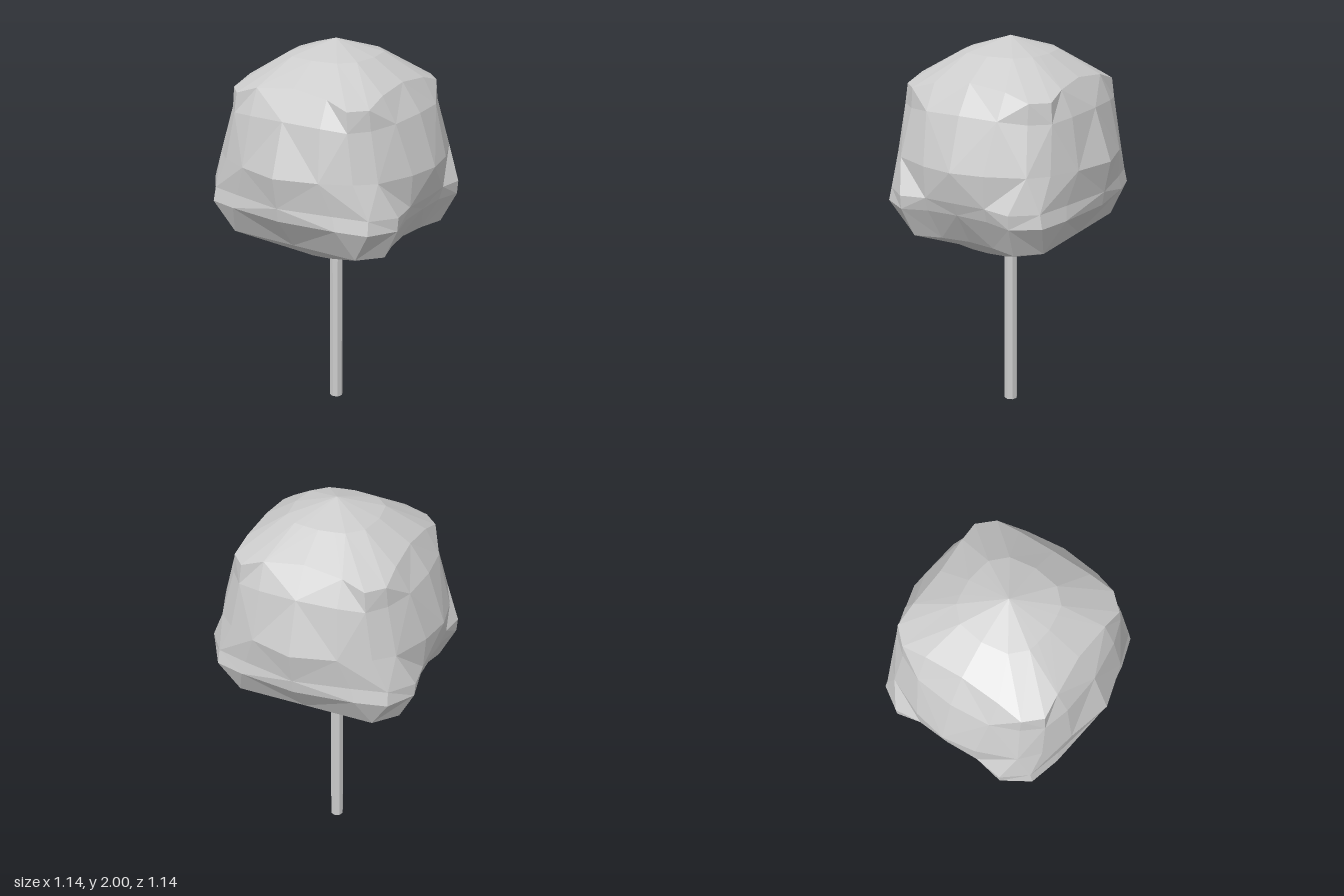
import * as THREE from 'three';

// One quarter of each crown ring, from the +x axis round to the +z axis.
// y: height on the axes, corner: height at the rounded corner, x / z: outline
const RINGS = [
  { y: 1.93, corner: 1.93, x: [0.22, 0.2, 0.17, 0.13, 0.08, 0], z: [0, 0.13, 0.16, 0.2, 0.21, 0.22] },
  { y: 1.83, corner: 1.77, x: [0.38, 0.385, 0.39, 0.315, 0.2, 0], z: [0, 0.2, 0.33, 0.41, 0.4, 0.385] },
  { y: 1.69, corner: 1.67, x: [0.48, 0.46, 0.4, 0.325, 0.2, 0], z: [0, 0.2, 0.33, 0.42, 0.46, 0.48] },
  { y: 1.43, corner: 1.43, x: [0.57, 0.54, 0.46, 0.37, 0.22, 0], z: [0, 0.17, 0.36, 0.44, 0.51, 0.57] },
  { y: 1.27, corner: 1.26, x: [0.54, 0.53, 0.545, 0.45, 0.28, 0], z: [0, 0.17, 0.31, 0.43, 0.48, 0.54] },
  { y: 1.2, corner: 1.19, x: [0.51, 0.51, 0.54, 0.455, 0.3, 0], z: [0, 0.17, 0.31, 0.445, 0.49, 0.53] },
  { y: 1.03, corner: 1.03, x: [0.4, 0.42, 0.46, 0.36, 0.2, 0], z: [0, 0.15, 0.29, 0.4, 0.4, 0.4] },
  { y: 0.91, corner: 0.91, x: [0.22, 0.21, 0.18, 0.15, 0.09, 0], z: [0, 0.1, 0.15, 0.18, 0.21, 0.22] },
];

function crownGeometry() {
  const drop = [0, 0.35, 1, 1, 0.35, 0];
  const pole = (y) => drop.map(() => [0, y, 0]);
  const rows = [
    pole(2),
    ...RINGS.map((r) => r.x.map((x, j) => [x, r.y + (r.corner - r.y) * drop[j], r.z[j]])),
    pole(0.87),
  ];
  const positions = [];
  for (const sx of [1, -1]) {
    for (const sz of [1, -1]) {
      const triangle = (a, b, c) => {
        const order = sx * sz > 0 ? [a, b, c] : [a, c, b];
        for (const p of order) positions.push(p[0] * sx, p[1], p[2] * sz);
      };
      for (let i = 0; i < rows.length - 1; i++) {
        for (let j = 0; j < drop.length - 1; j++) {
          const a = rows[i][j], b = rows[i][j + 1];
          const c = rows[i + 1][j], d = rows[i + 1][j + 1];
          if (i === 0) triangle(a, d, c);
          else if (i === rows.length - 2) triangle(a, b, c);
          else if ((i + j) % 2) {
            triangle(a, b, c);
            triangle(b, d, c);
          } else {
            triangle(a, b, d);
            triangle(a, d, c);
          }
        }
      }
    }
  }
  const geometry = new THREE.BufferGeometry();
  geometry.setAttribute('position', new THREE.Float32BufferAttribute(positions, 3));
  geometry.computeVertexNormals();
  return geometry;
}

export function createModel() {
  const tree = new THREE.Group();
  tree.name = 'tree';

  // Faceted, lumpy crown
  const crown = new THREE.Mesh(
    crownGeometry(),
    new THREE.MeshStandardMaterial({ color: 0xcccccc, flatShading: true })
  );
  crown.name = 'crown';
  tree.add(crown);

  // Thin open trunk reaching just inside the crown
  const height = 0.9;
  const trunk = new THREE.Mesh(
    new THREE.CylinderGeometry(0.035, 0.035, height, 8, 1, true),
    new THREE.MeshStandardMaterial({ color: 0xcccccc, flatShading: true, side: THREE.DoubleSide })
  );
  trunk.name = 'trunk';
  trunk.position.y = height / 2;
  tree.add(trunk);

  return tree;
}
